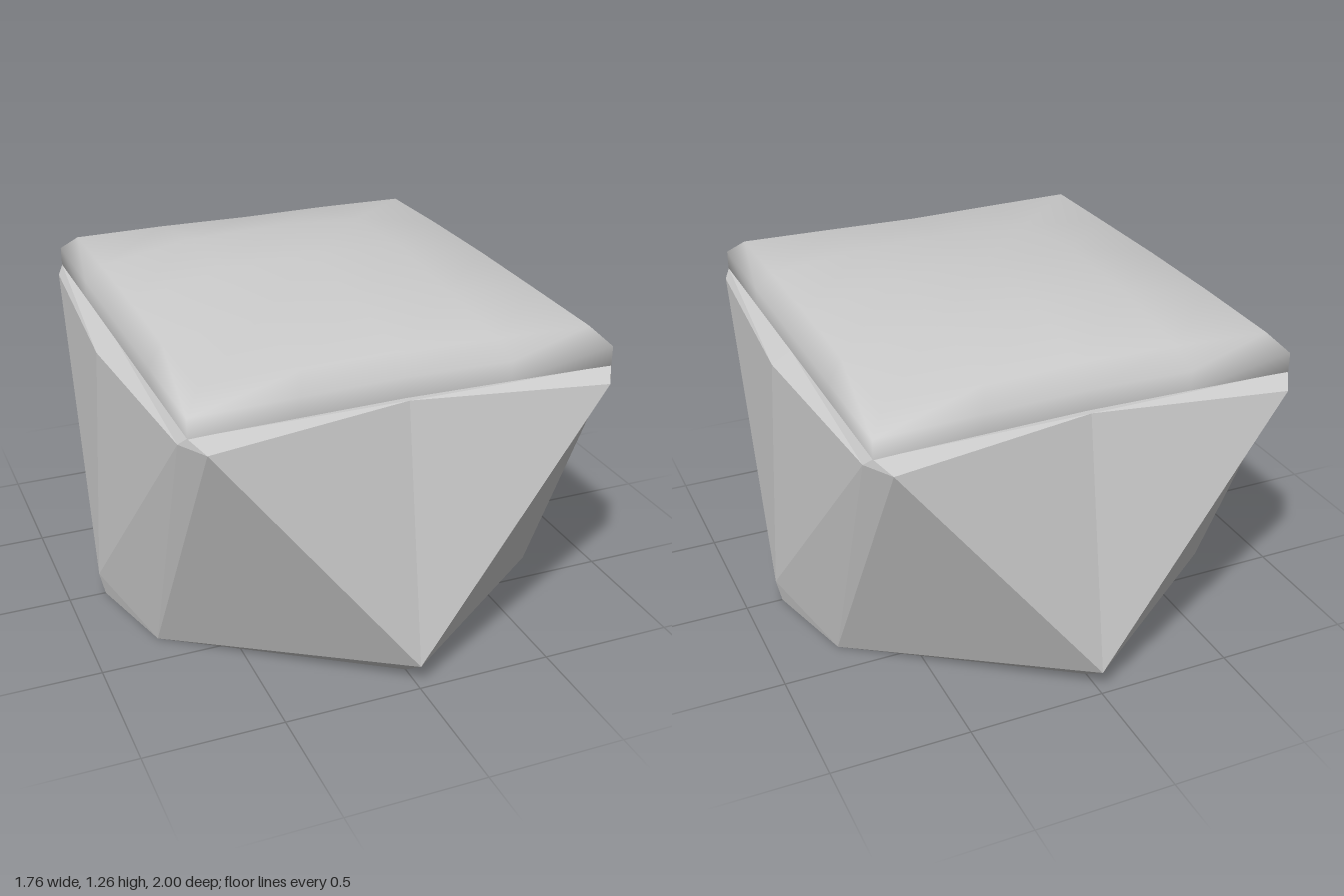
import * as THREE from 'three';
import { mergeVertices } from 'three/addons/utils/BufferGeometryUtils.js';

// Faceted base: one quarter (+x, +z), mirrored into the other three
function baseGeometry() {
  const p = {
    frontFoot: [0, 0, 0.88], frontTip: [0, 0.09, 1], frontMid: [0, 1.035, 0.845],
    sideFoot: [0.86, 0, 0], sideTip: [0.88, 0.09, 0], sideMid: [0.83, 1.0, 0],
    foot: [0.76, 0, 0.37], cornerF: [0.715, 1.005, 0.92], cornerS: [0.78, 1.01, 0.82],
    rim: [0.757, 1.04, 0.85], rimSide: [0.757, 1.04, 0],
    topCentre: [0, 1.04, 0], bottomCentre: [0, 0, 0],
  };
  const faces = [
    ['frontTip', 'foot', 'cornerS', 'cornerF'],        // corner facet
    ['frontTip', 'cornerF', 'frontMid'],               // half of front triangle
    ['frontFoot', 'foot', 'frontTip'],                 // front toe
    ['sideTip', 'cornerS', 'foot'],
    ['sideFoot', 'sideTip', 'foot'],                   // side toe
    ['sideTip', 'sideMid', 'cornerS'],                 // half of side triangle
    ['sideMid', 'rimSide', 'rim', 'cornerS'],          // side ledge
    ['cornerF', 'cornerS', 'rim'],
    ['cornerF', 'rim', 'frontMid'],                    // front ledge
    ['frontMid', 'rim', 'rimSide', 'topCentre'],
    ['frontFoot', 'bottomCentre', 'sideFoot', 'foot'], // underside
  ];
  const pos = [];
  for (const sx of [1, -1]) for (const sz of [1, -1]) {
    for (const face of faces) {
      const pts = face.map((n) => [p[n][0] * sx, p[n][1], p[n][2] * sz]);
      if (sx * sz < 0) pts.reverse();
      for (let i = 1; i < pts.length - 1; i++) pos.push(...pts[0], ...pts[i], ...pts[i + 1]);
    }
  }
  const g = new THREE.BufferGeometry();
  g.setAttribute('position', new THREE.Float32BufferAttribute(pos, 3));
  g.computeVertexNormals();
  return g;
}

// Domed cushion: a grid whose two outer rings fold down into the sides
function cushionGeometry() {
  const g = new THREE.PlaneGeometry(8, 8, 8, 8).rotateX(-Math.PI / 2);
  const xs = [0, 0.35, 0.7], zs = [0, 0.4, 0.785];
  const riseX = [1, 0.85, 0.12];
  const riseZ = { '-2': 0.12, '-1': 0.85, 0: 1, 1: 0.55, 2: 0.02 };
  const pos = g.attributes.position;
  const clamp = (v) => THREE.MathUtils.clamp(v, -2, 2);
  for (let n = 0; n < pos.count; n++) {
    const i = Math.round(pos.getX(n)), j = Math.round(pos.getZ(n));
    const ring = Math.max(Math.abs(i), Math.abs(j));
    const a = clamp(i), b = clamp(j);
    const grow = ring > 2 ? [0.757 / 0.7, 0.853 / 0.785] : [1, 1];
    const x = Math.sign(a) * xs[Math.abs(a)] * grow[0];
    let z = Math.sign(b) * zs[Math.abs(b)] * grow[1];
    // front and back edges bow slightly inward
    if (Math.abs(b) === 2) z -= Math.sign(b) * 0.03 * (1 - Math.abs(a) / 2);
    const dome = 1.168 + 0.095 * riseX[Math.abs(a)] * riseZ[b];
    pos.setXYZ(n, x, ring === 4 ? 1.035 : ring === 3 ? 1.11 : dome, z);
  }
  g.deleteAttribute('uv');
  g.deleteAttribute('normal');
  const merged = mergeVertices(g, 1e-4);
  merged.computeVertexNormals();
  return merged;
}

export function createModel() {
  const group = new THREE.Group();
  group.name = 'ottoman';
  const add = (name, geometry, flatShading) => {
    const mat = new THREE.MeshStandardMaterial({ color: 0xcccccc, flatShading });
    const mesh = new THREE.Mesh(geometry, mat);
    mesh.name = name;
    group.add(mesh);
  };
  add('base', baseGeometry(), true);
  add('cushion', cushionGeometry(), false);
  return group;
}
